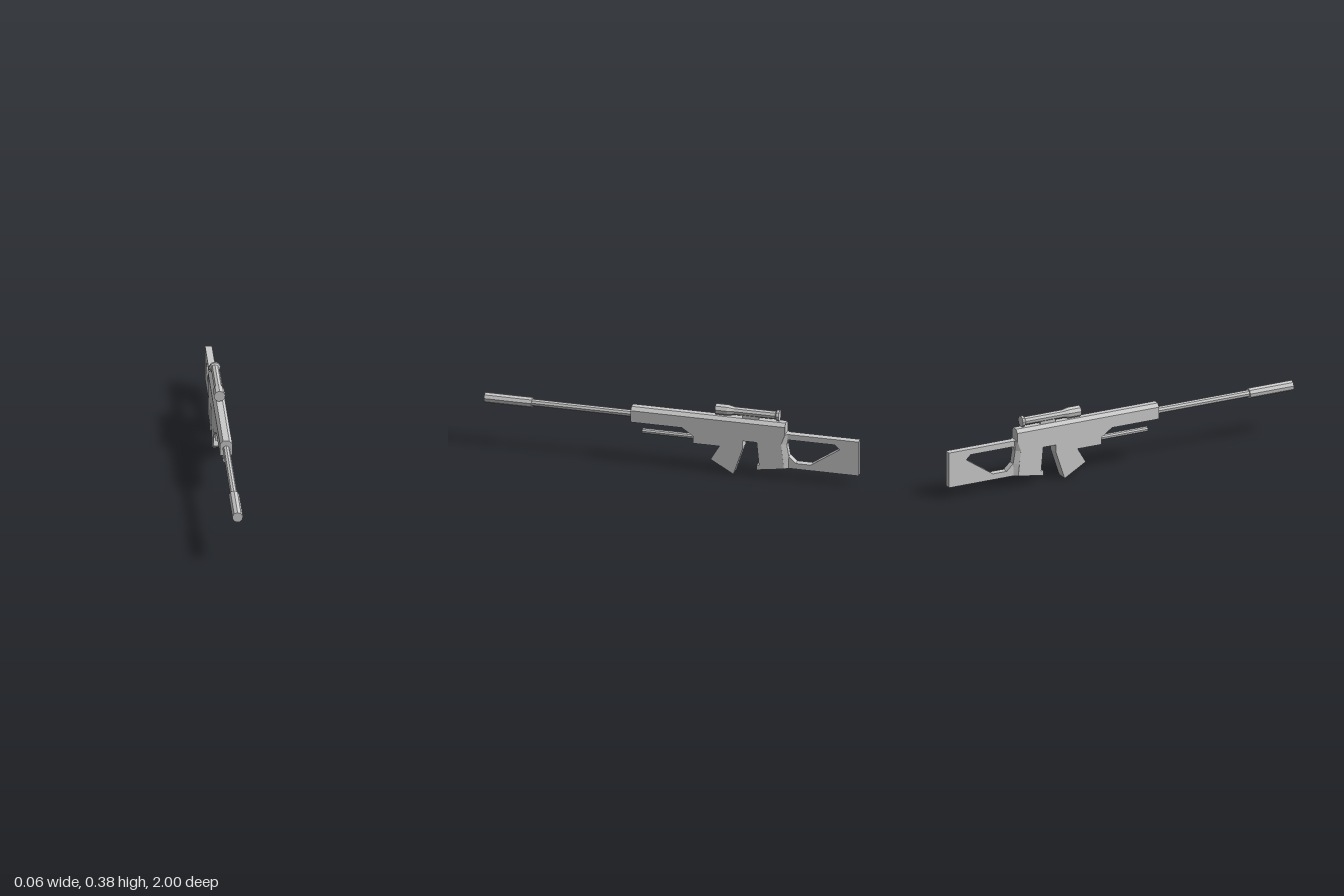
import * as THREE from 'three';

const material = new THREE.MeshStandardMaterial({ color: 0xcccccc, flatShading: true });

// Side outline given as [z, y] points, extruded symmetrically across x
function slab(name, outline, halfWidth, hole) {
  const toPoints = (list) => list.map(([z, y]) => new THREE.Vector2(z, y));
  const shape = new THREE.Shape(toPoints(outline));
  if (hole) shape.holes.push(new THREE.Path(toPoints(hole)));
  const geo = new THREE.ExtrudeGeometry(shape, { depth: 2 * halfWidth, bevelEnabled: false });
  geo.translate(0, 0, -halfWidth).rotateY(-Math.PI / 2);
  return named(name, geo);
}

// Nine-sided turned part along z, profile given as [radius, z] from back to front
function turned(name, y, profile, sides = 9) {
  const pts = profile.map(([r, z]) => new THREE.Vector2(r, z));
  const geo = new THREE.LatheGeometry(pts, sides, Math.PI).rotateX(Math.PI / 2);
  return named(name, geo.translate(0, y, 0));
}

// Stack of closed rings of equal length, joined by quads, with both ends capped
function loft(name, rings) {
  const n = rings[0].length;
  const pos = rings.flat(2);
  const index = [];
  for (let r = 0; r < rings.length - 1; r++) {
    for (let i = 0; i < n; i++) {
      const a = r * n + i, b = r * n + (i + 1) % n;
      index.push(a, b, b + n, a, b + n, a + n);
    }
  }
  const top = (rings.length - 1) * n;
  for (let i = 1; i < n - 1; i++) {
    index.push(0, i + 1, i, top, top + i, top + i + 1);
  }
  const geo = new THREE.BufferGeometry();
  geo.setAttribute('position', new THREE.Float32BufferAttribute(pos, 3));
  geo.setIndex(index);
  const flat = geo.toNonIndexed();
  flat.computeVertexNormals();
  return named(name, flat);
}

function named(name, geo) {
  const mesh = new THREE.Mesh(geo, material);
  mesh.name = name;
  return mesh;
}

export function createModel() {
  const model = new THREE.Group();
  model.name = 'longRifle';

  // Receiver with magazine and grip in one outline
  model.add(slab('receiver', [
    [0.214, 0.3], [0.214, 0.235], [-0.06, 0.235], [-0.12, 0.193], [-0.12, 0.153],
    [-0.26, 0.153], [-0.213, 0.073], [-0.335, 0.002], [-0.385, 0.153], [-0.385, 0.197],
    [-0.46, 0.197], [-0.472, 0.068], [-0.46, 0.068], [-0.46, 0.041], [-0.605, 0.063],
    [-0.59, 0.2], [-0.61, 0.256], [-0.61, 0.3],
  ], 0.032));

  // Bevelled upper edge of the receiver
  const ridge = new THREE.Shape([[-0.032, 0.3], [0.032, 0.3], [0.016, 0.318], [-0.016, 0.318]]
    .map(([x, y]) => new THREE.Vector2(x, y)));
  const ridgeGeo = new THREE.ExtrudeGeometry(ridge, { depth: 0.824, bevelEnabled: false });
  model.add(named('receiverTop', ridgeGeo.translate(0, 0, -0.61)));

  // Tapered back of the grip, narrowing to the stock: [y, wide z, narrow z]
  const rows = [[0.063, -0.605, -0.625], [0.13, -0.598, -0.628], [0.2, -0.59, -0.616], [0.256, -0.61, -0.622]];
  model.add(loft('gripBack', rows.map(([y, wide, narrow]) => [
    [0.032, y, wide], [0.018, y, narrow], [-0.018, y, narrow], [-0.032, y, wide],
  ])));

  // Thin skeleton stock
  model.add(slab('stock',
    [[-0.6, 0.063], [-1, 0.063], [-1, 0.256], [-0.6, 0.256]], 0.018,
    [[-0.625, 0.225], [-0.875, 0.225], [-0.9, 0.2], [-0.745, 0.095], [-0.665, 0.095], [-0.628, 0.13], [-0.616, 0.19]]));

  // Barrel with muzzle sleeve, and the short rod below it
  model.add(turned('barrel', 0.271, [[0, 0.2], [0.019, 0.2], [0.019, 0.75]]));
  model.add(turned('muzzle', 0.271, [[0.019, 0.747], [0.028, 0.747], [0.028, 1], [0, 1]]));
  model.add(turned('lowerRod', 0.179, [[0, -0.13], [0.0145, -0.13], [0.0145, 0.158], [0, 0.158]]));

  // Scope and its mount
  model.add(turned('scope', 0.35, [
    [0, -0.575], [0.03, -0.575], [0.03, -0.562], [0.022, -0.555],
    [0.022, -0.335], [0.03, -0.3], [0.03, -0.235], [0, -0.235],
  ]));
  const mount = new THREE.BoxGeometry(0.028, 0.024, 0.085);
  model.add(named('scopeMount', mount.translate(0, 0.326, -0.423)));

  return model;
}
